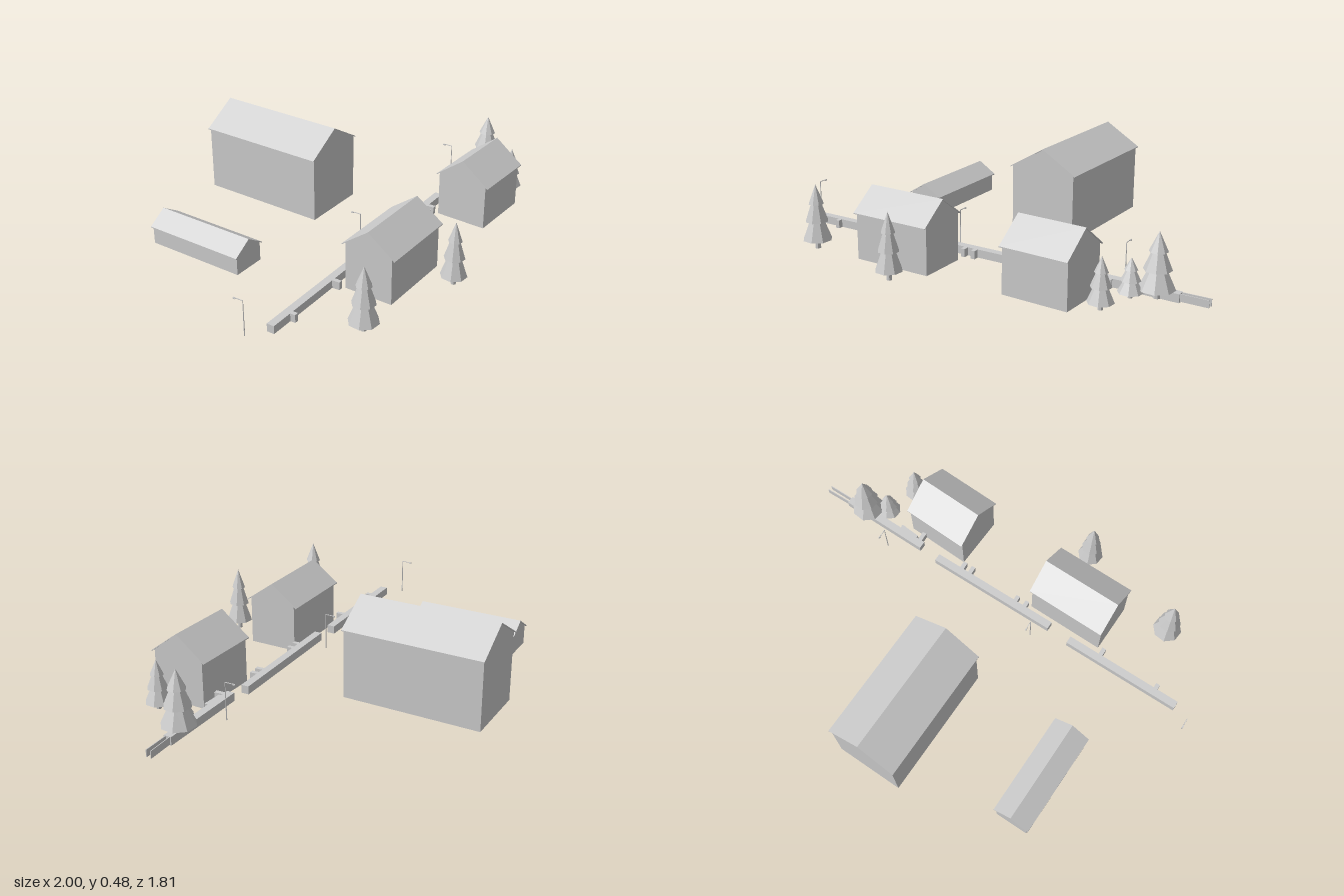
import * as THREE from 'three';

const mat = new THREE.MeshStandardMaterial({ color: 0xcccccc, flatShading: true, side: THREE.DoubleSide });

function add(parent, name, geometry, x = 0, y = 0, z = 0) {
  const mesh = new THREE.Mesh(geometry, mat);
  mesh.name = name;
  mesh.position.set(x, y, z);
  parent.add(mesh);
  return mesh;
}

// Extrude a cross-section along z, centred on the origin
function prism(points, length) {
  const shape = new THREE.Shape(points.map(([x, y]) => new THREE.Vector2(x, y)));
  return new THREE.ExtrudeGeometry(shape, { depth: length, bevelEnabled: false }).translate(0, 0, -length / 2);
}

// Gabled building: w and l are the roof's width and length, (dx, dz) the ridge direction
function house({ name, x, z, w, l, dx, dz, base, eave, ridge, over }) {
  const group = new THREE.Group();
  group.name = name;
  group.position.set(x, 0, z);
  group.rotation.y = Math.atan2(dx, dz);
  const h = w / 2, t = 0.005, b = h - over;
  const wallTop = eave + (ridge - eave) * over / h - t;
  add(group, name + 'Walls', prism([[-b, base], [b, base], [b, wallTop], [0, ridge - t], [-b, wallTop]], l - 0.012));
  add(group, name + 'Roof', prism([[-h, eave], [0, ridge], [h, eave], [h, eave - t], [0, ridge - t], [-h, eave - t]], l));
  return group;
}

// Straight wall between two ground points
function bar(parent, name, [x1, z1], [x2, z2], width, base, height) {
  const dx = x2 - x1, dz = z2 - z1;
  const mesh = add(parent, name, new THREE.BoxGeometry(Math.hypot(dx, dz), height, width),
    (x1 + x2) / 2, base + height / 2, (z1 + z2) / 2);
  mesh.rotation.y = -Math.atan2(dz, dx);
  return mesh;
}

// Three-tiered eight-sided conifer on a short trunk
function tree(x, z, r, base, top) {
  const group = new THREE.Group();
  group.name = 'tree';
  group.position.set(x, base, z);
  const H = top - base;
  const profile = [
    [0, 0.14], [1, 0.14], [0.5, 0.43], [0.78, 0.43], [0.36, 0.7], [0.52, 0.7], [0, 1],
  ].map(([a, b]) => new THREE.Vector2(a * r, b * H));
  add(group, 'foliage', new THREE.LatheGeometry(profile, 8, Math.PI / 8));
  add(group, 'trunk', new THREE.CylinderGeometry(r * 0.17, r * 0.2, H * 0.16, 8), 0, H * 0.08, 0);
  return group;
}

// Street lamp with an arm reaching over the road
function lamp(x, z, base, top) {
  const group = new THREE.Group();
  group.name = 'streetLamp';
  const end = [x - 0.042, z - 0.032];
  add(group, 'lampPost', new THREE.CylinderGeometry(0.002, 0.003, top - base, 6), x, (top + base) / 2, z);
  bar(group, 'lampArm', [x, z], end, 0.003, top - 0.003, 0.003);
  bar(group, 'lampHead', [end[0] + 0.01, end[1] + 0.008], end, 0.007, top - 0.007, 0.005);
  return group;
}

export function createModel() {
  const model = new THREE.Group();
  model.name = 'village';

  // Buildings
  [
    { name: 'barn', x: -0.315, z: -0.535, w: 0.38, l: 0.71, dx: 0.545, dz: 0.458, base: 0.015, eave: 0.365, ridge: 0.48, over: 0.012 },
    { name: 'shed', x: -0.72, z: 0.093, w: 0.2, l: 0.555, dx: 0.43, dz: 0.355, base: 0.015, eave: 0.113, ridge: 0.176, over: 0.012 },
    { name: 'frontHouse', x: 0.178, z: 0.39, w: 0.295, l: 0.43, dx: -0.275, dz: 0.33, base: 0, eave: 0.242, ridge: 0.35, over: 0.018 },
    { name: 'rearHouse', x: 0.714, z: -0.227, w: 0.307, l: 0.354, dx: -0.235, dz: 0.265, base: 0.015, eave: 0.25, ridge: 0.366, over: 0.016 },
  ].forEach((h) => model.add(house(h)));

  // Trees: x, z, radius, base, top
  [
    [-0.005, 0.835, 0.075, 0.012, 0.345],
    [0.46, 0.49, 0.067, 0.01, 0.345],
    [0.93, -0.41, 0.063, 0.022, 0.27],
    [0.833, -0.565, 0.06, 0.03, 0.22],
    [0.85, -0.68, 0.085, 0.03, 0.345],
  ].forEach((t) => model.add(tree(...t)));

  // Roadside wall in three runs, each with short returns towards the houses
  const wall = new THREE.Group();
  wall.name = 'roadsideWall';
  model.add(wall);
  [
    { from: [-0.42, 0.818], to: [-0.012, 0.315], base: 0.01, returns: [[-0.345, 0.71], [-0.125, 0.46]] },
    { from: [0.073, 0.225], to: [0.522, -0.33], base: 0.018, returns: [[0.175, 0.09], [0.21, 0.045], [0.4, -0.175], [0.43, -0.215]] },
    { from: [0.595, -0.405], to: [0.905, -0.775], base: 0.03, returns: [[0.62, -0.42]] },
  ].forEach(({ from, to, base, returns }) => {
    bar(wall, 'wallRun', from, to, 0.04, base, 0.042);
    returns.forEach(([x, z]) => bar(wall, 'wallReturn', [x, z], [x + 0.045, z + 0.034], 0.022, base, 0.042));
  });
  // Hooked return and the paired thin walls at the far end
  bar(wall, 'wallHook', [0.645, -0.43], [0.715, -0.505], 0.02, 0.03, 0.042);
  bar(wall, 'wallHookEnd', [0.68, -0.515], [0.72, -0.495], 0.02, 0.03, 0.042);
  bar(wall, 'thinWall', [0.89, -0.775], [0.98, -0.89], 0.004, 0.035, 0.036);
  bar(wall, 'thinWall', [0.91, -0.765], [0.998, -0.873], 0.004, 0.035, 0.036);

  // Street lamps
  [[-0.535, 0.835, 0.012, 0.2], [0.05, 0.12, 0.015, 0.205], [0.633, -0.59, 0.025, 0.217]]
    .forEach((l) => model.add(lamp(...l)));

  return model;
}
